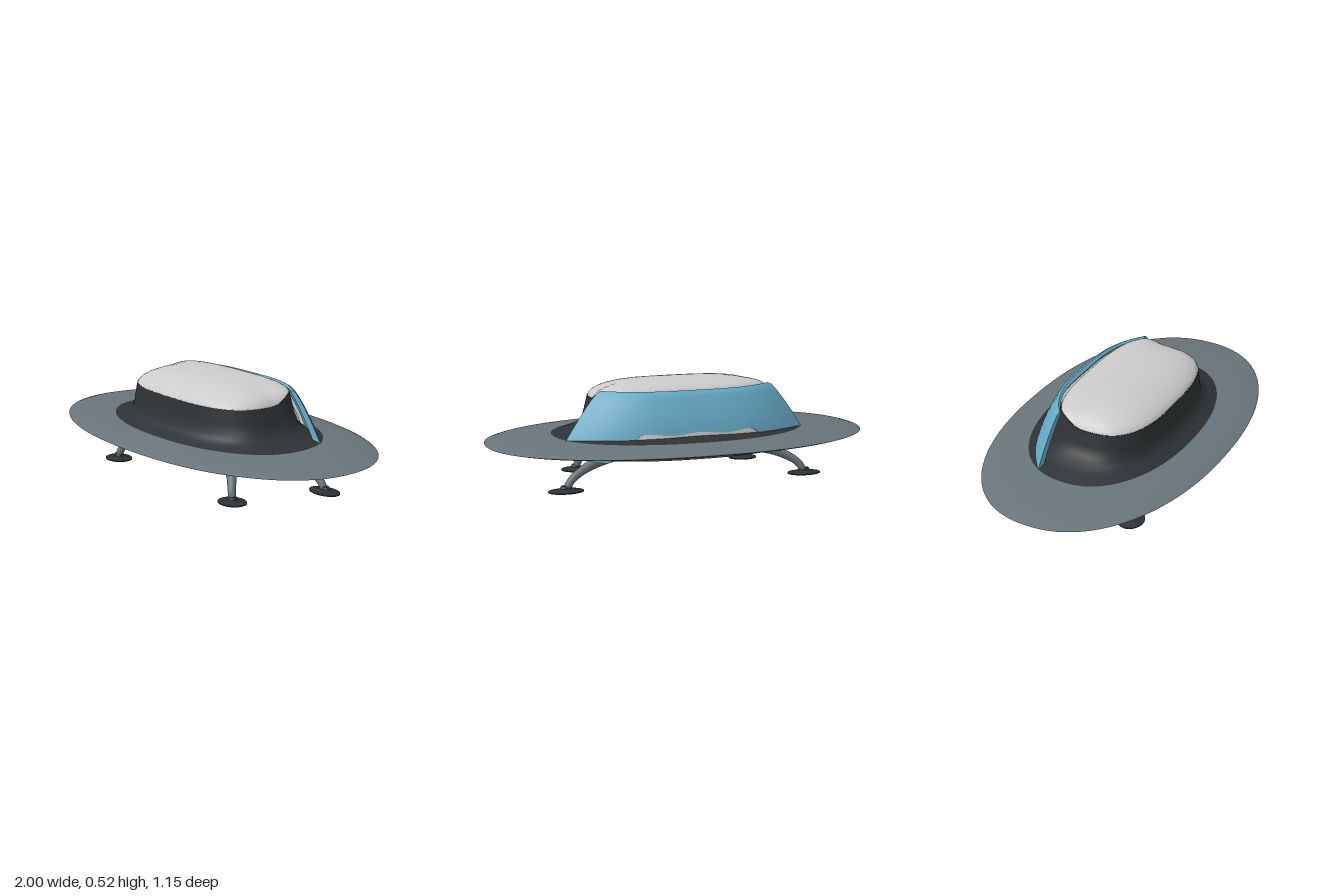
import * as THREE from 'three';
import { toCreasedNormals } from 'three/addons/utils/BufferGeometryUtils.js';

const SLATE = 0x69757b, BLACK = 0x2e3234, BLUE = 0x66aac6, GREY = 0xcccccc;
const { lerp, smoothstep } = THREE.MathUtils;

function addMesh(parent, name, geometry, color) {
  const material = new THREE.MeshStandardMaterial({ color, side: THREE.DoubleSide });
  const mesh = new THREE.Mesh(geometry, material);
  mesh.name = name;
  parent.add(mesh);
  return mesh;
}

// Skin a stack of closed rows that all have the same number of points
function loft(rows, crease = 0.7) {
  const n = rows[0].length, index = [];
  for (let i = 0; i < rows.length - 1; i++) {
    for (let j = 0; j < n; j++) {
      const a = i * n + j, b = i * n + (j + 1) % n;
      index.push(a, a + n, b, b, a + n, b + n);
    }
  }
  const g = new THREE.BufferGeometry();
  g.setAttribute('position', new THREE.Float32BufferAttribute(rows.flat(2), 3));
  g.setIndex(index);
  return toCreasedNormals(g, crease);
}

// Super-elliptic ring with its own front and back depth; y may be a rule of z
function ring(rx, front, back, y, power = 2.2, n = 96) {
  const points = [];
  for (let j = 0; j < n; j++) {
    const a = j / n * Math.PI * 2, c = Math.cos(a), s = Math.sin(a);
    const r = Math.pow(Math.abs(c) ** power + Math.abs(s) ** power, -1 / power);
    const z = s * r * (s > 0 ? front : back);
    points.push([c * r * rx, typeof y === 'function' ? y(z) : y, z]);
  }
  return points;
}

// The cabin wall rises into shoulders towards the back
const wallTop = z => 0.43 + 0.045 * (1 - smoothstep(z, -0.13, 0));

// Curved rear panel: sections run from one side to the other, wrapping the cabin
function rearPanel({ reach, top, bottom, inset = 0, thick = 0.035 }) {
  const rows = [], steps = 48, down = 10;
  for (let i = 0; i <= steps; i++) {
    const s = lerp(-reach, reach, i / steps), e = Math.abs(s);
    const at = (y, depth) => {
      const h = Math.max(0, (0.48 - y) / 0.23);
      const bulge = 1 - (1 - Math.min(h, 1)) ** 1.6;
      const z = lerp(-0.27 + 0.13 * e ** 3, -0.355 + 0.2 * e ** 3, bulge);
      const width = 0.46 + 0.17 * Math.min(h, 1.12) ** 0.85;
      return [s * width * (1 - 2 * depth), y, z + depth * (1 - 0.85 * e * e)];
    };
    const low = bottom(e), section = [];
    section.push(at(top, inset + thick * 0.5));
    for (let k = 0; k <= down; k++) section.push(at(lerp(top - 0.01, low, k / down), inset));
    for (let k = down; k >= 0; k--) section.push(at(lerp(top - 0.01, low, k / down), inset + thick));
    rows.push(section);
  }
  // Close both ends with a flat strip between the outer and inner faces
  const cap = row => row.map((p, k) => {
    const q = row[(row.length - k) % row.length];
    return p.map((v, axis) => (v + q[axis]) / 2);
  });
  return loft([cap(rows[0]), ...rows, cap(rows[steps])], 0.8);
}

// Curved strut that thins towards its splayed foot
function addLeg(parent, name, side, hip, foot, padX, padZ) {
  const leg = new THREE.Group();
  leg.name = name;
  const path = new THREE.CatmullRomCurve3([
    new THREE.Vector3(side * hip[0], 0.155, hip[1]),
    new THREE.Vector3(side * lerp(hip[0], foot[0], 0.45), 0.115, lerp(hip[1], foot[1], 0.35)),
    new THREE.Vector3(side * lerp(hip[0], foot[0], 0.85), 0.06, lerp(hip[1], foot[1], 0.85)),
    new THREE.Vector3(side * foot[0], 0.01, foot[1]),
  ]);
  const rings = 20, sides = 14;
  const strut = new THREE.TubeGeometry(path, rings, 1, sides);
  const p = strut.attributes.position, v = new THREE.Vector3();
  for (let i = 0; i < p.count; i++) {
    const t = Math.floor(i / (sides + 1)) / rings, centre = path.getPointAt(t);
    const radius = 0.019 + 0.016 * (1 - t) ** 2;
    v.fromBufferAttribute(p, i).sub(centre).multiplyScalar(radius).add(centre);
    p.setXYZ(i, v.x, v.y, v.z);
  }
  addMesh(leg, 'strut', strut, SLATE);
  const profile = [[0, 0], [1, 0], [1, 0.005], [0.6, 0.011], [0.36, 0.018], [0.27, 0.03], [0, 0.032]];
  const pad = new THREE.LatheGeometry(profile.map(q => new THREE.Vector2(...q)), 32);
  const mesh = addMesh(leg, 'footPad', toCreasedNormals(pad.scale(padX, 1, padZ), 0.6), BLACK);
  mesh.position.set(side * foot[0], 0, foot[1]);
  parent.add(leg);
}

export function createModel() {
  const model = new THREE.Group();
  model.name = 'saucer';

  // Thin oval disc
  addMesh(model, 'rim', loft([
    ring(0.64, 0.385, 0.40, 0.166), ring(0.82, 0.48, 0.49, 0.193), ring(0.97, 0.56, 0.56, 0.211),
    ring(1, 0.575, 0.575, 0.218), ring(0.97, 0.56, 0.56, 0.226), ring(0.82, 0.48, 0.49, 0.238),
    ring(0.66, 0.385, 0.415, 0.25),
  ]), SLATE);

  // Shallow black belly
  addMesh(model, 'belly', loft([
    ring(0, 0, 0, 0.12), ring(0.39, 0.17, 0.19, 0.121), ring(0.46, 0.23, 0.24, 0.13),
    ring(0.55, 0.30, 0.31, 0.146), ring(0.645, 0.387, 0.402, 0.167),
  ]), BLACK);

  // Flared collar and cabin wall
  addMesh(model, 'cabinWall', loft([
    ring(0.665, 0.388, 0.418, 0.249), ring(0.59, 0.345, 0.355, 0.268, 2.3),
    ring(0.53, 0.315, 0.32, 0.287, 2.5), ring(0.497, 0.30, 0.295, 0.31, 2.7),
    ring(0.48, 0.29, 0.26, 0.36, 2.9), ring(0.462, 0.28, 0.22, wallTop, 3),
  ]), BLACK);

  // Domed canopy, highest just behind the middle
  const canopyRows = [1, 0.985, 0.95, 0.89, 0.8, 0.68, 0.52, 0.35, 0.18, 0].map(k => {
    const swell = (1 - k ** 4) ** 0.6;
    const height = z => lerp(wallTop(z), 0.523 - 0.35 * (z + 0.07) ** 2, swell);
    return ring(0.46 * k, 0.279 * k, 0.22 * k, height, 3);
  });
  addMesh(model, 'canopy', loft(canopyRows, 1), GREY);

  // Blue rear panel whose side ends drop through the disc, over a grey liner
  addMesh(model, 'rearPanel', rearPanel({
    reach: 1, top: 0.485, thick: 0.035,
    bottom: e => 0.285 - 0.13 * smoothstep(e, 0.45, 0.72) + 0.006 * Math.cos(e * 14),
  }), BLUE);
  addMesh(model, 'rearLiner', rearPanel({
    reach: 0.72, top: 0.46, inset: 0.004, thick: 0.05, bottom: () => 0.25,
  }), GREY);

  // Four legs, the rear pair splayed wider
  for (const [label, side] of [['Left', 1], ['Right', -1]]) {
    addLeg(model, 'frontLeg' + label, side, [0.37, 0.21], [0.475, 0.275], 0.078, 0.066);
    addLeg(model, 'rearLeg' + label, side, [0.41, -0.14], [0.64, -0.182], 0.09, 0.06);
  }
  return model;
}
